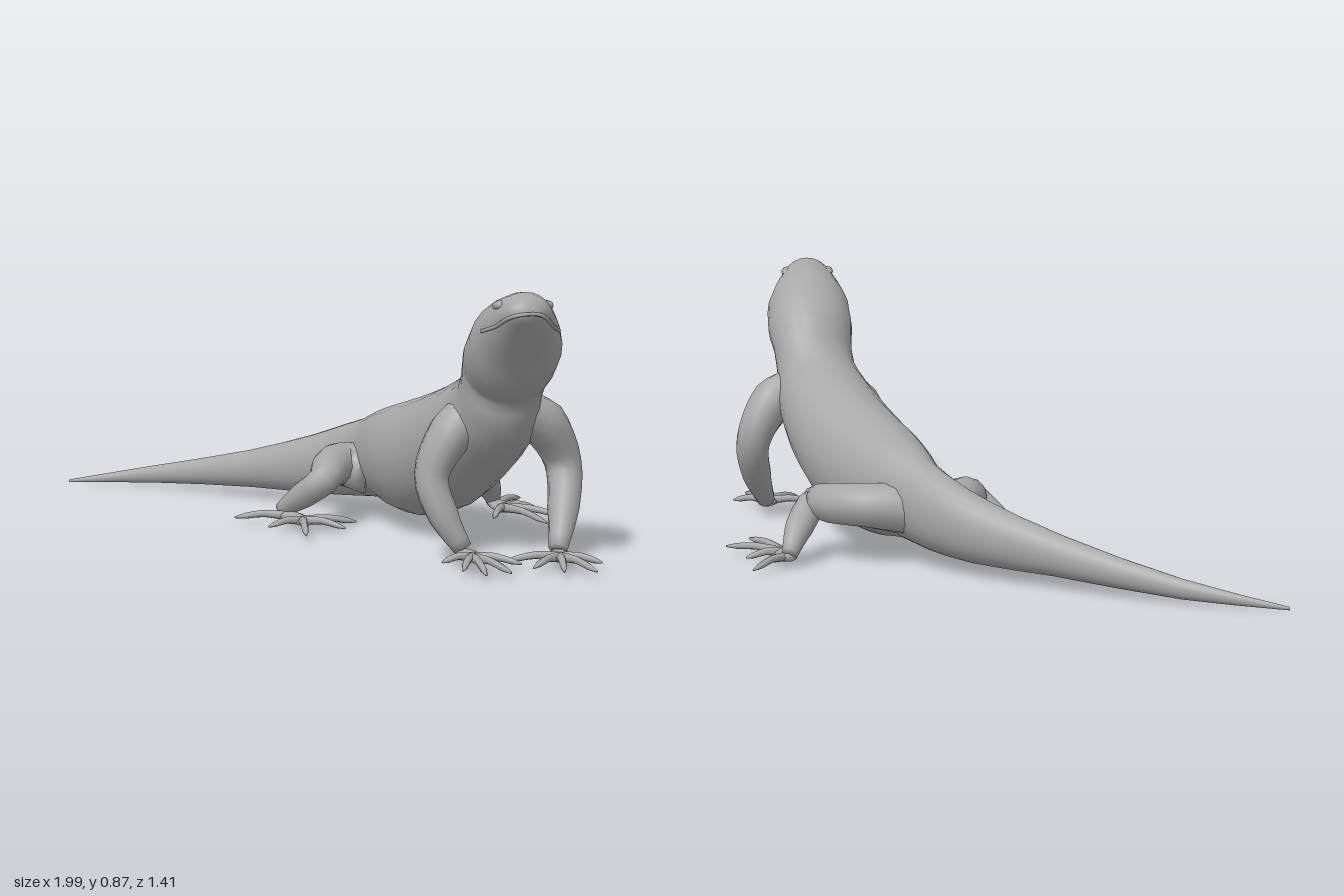
import * as THREE from 'three';

const V = (x, y, z) => new THREE.Vector3(x, y, z);
const lerpList = (list, t) => {
  const f = t * (list.length - 1), i = Math.min(Math.floor(f), list.length - 2);
  return THREE.MathUtils.lerp(list[i], list[i + 1], f - i);
};

// A point on a ring with centre c, side vector s and up vector u
const ringPoint = (r, a) => r.c.clone().addScaledVector(r.s, Math.cos(a)).addScaledVector(r.u, Math.sin(a));

// Closed smooth skin over a list of rings
function skin(rings, sides) {
  const pos = [], index = [];
  rings.forEach(r => {
    for (let j = 0; j < sides; j++) pos.push(...ringPoint(r, j / sides * Math.PI * 2).toArray());
  });
  const last = rings.length - 1, start = rings.length * sides, end = start + 1;
  pos.push(...rings[0].c.toArray(), ...rings[last].c.toArray());
  for (let j = 0; j < sides; j++) {
    const k = (j + 1) % sides;
    for (let i = 0; i < last; i++) {
      const a = i * sides + j, b = i * sides + k;
      index.push(a, b, a + sides, b, b + sides, a + sides);
    }
    index.push(start, k, j, end, last * sides + j, last * sides + k);
  }
  const g = new THREE.BufferGeometry();
  g.setAttribute('position', new THREE.Float32BufferAttribute(pos, 3));
  g.setIndex(index);
  g.computeVertexNormals();
  return g;
}

// Tapered tube through points [x, y, z, radius], optionally flattened
function limb(points, ref, sides = 12, steps = 4, flat = 1) {
  const curve = new THREE.CatmullRomCurve3(points.map(p => V(p[0], p[1], p[2])));
  const n = (points.length - 1) * steps, rings = [];
  for (let i = 0; i <= n; i++) {
    const t = i / n, r = lerpList(points.map(p => p[3]), t), dir = curve.getTangent(t);
    const s = ref.clone().cross(dir).normalize(), u = dir.clone().cross(s);
    rings.push({ c: curve.getPoint(t), s: s.multiplyScalar(r), u: u.multiplyScalar(r * flat) });
  }
  return skin(rings, sides);
}

// Body sections from tail to snout: top x, y, z, bottom x, y, z, half width
const SECTIONS = [
  [-1, .014, -.69, -1, .004, -.69, .004],
  [-.68, .08, -.665, -.68, .018, -.665, .024],
  [-.30, .17, -.54, -.28, .04, -.53, .05],
  [-.05, .25, -.445, -.02, .045, -.425, .074],
  [.06, .295, -.39, .13, .06, -.335, .082],
  [.16, .338, -.31, .23, .075, -.24, .095],
  [.23, .38, -.235, .30, .06, -.16, .13],
  [.31, .42, -.14, .40, .06, -.04, .16],
  [.40, .46, -.04, .52, .12, .10, .172],
  [.48, .50, .05, .605, .22, .22, .17],
  [.56, .55, .15, .675, .33, .35, .155],
  [.62, .60, .24, .70, .43, .415, .135],
  [.655, .70, .30, .705, .50, .43, .135],
  [.685, .77, .37, .715, .525, .465, .145],
  [.715, .835, .46, .73, .56, .51, .142],
  [.74, .858, .55, .742, .63, .56, .116],
  [.76, .87, .625, .757, .70, .62, .087],
  [.772, .858, .675, .77, .765, .675, .06],
  [.78, .828, .695, .78, .80, .698, .026]
];

function bodyRings() {
  const top = new THREE.CatmullRomCurve3(SECTIONS.map(p => V(p[0], p[1], p[2])));
  const low = new THREE.CatmullRomCurve3(SECTIONS.map(p => V(p[3], p[4], p[5])));
  const n = (SECTIONS.length - 1) * 2;
  const rings = [];
  for (let i = 0; i <= n; i++) {
    const t = i / n, a = top.getPoint(t), b = low.getPoint(t);
    const dir = top.getTangent(t).add(low.getTangent(t));
    rings.push({
      c: a.clone().add(b).multiplyScalar(.5),
      u: a.sub(b).multiplyScalar(.5),
      s: V(dir.z, 0, -dir.x).normalize().multiplyScalar(lerpList(SECTIONS.map(p => p[6]), t))
    });
  }
  return rings;
}

// Limb paths [x, y, z, radius], palm centres [x, z] and toe tips [x, z]
const LEGS = [
  { name: 'leftForeleg', ref: V(1, 0, 0), palm: [.86, .41],
    path: [[.71, .47, .29, .07], [.79, .42, .235, .076], [.85, .29, .19, .058], [.858, .16, .26, .05], [.85, .05, .35, .03]],
    toes: [[.70, .45], [.79, .54], [.885, .57], [.98, .555], [.99, .43]] },
  { name: 'rightForeleg', ref: V(1, 0, 0), palm: [.60, .46],
    path: [[.59, .47, .31, .07], [.515, .40, .355, .072], [.46, .27, .385, .054], [.50, .15, .40, .048], [.56, .05, .40, .03]],
    toes: [[.51, .51], [.585, .61], [.66, .66], [.73, .62], [.75, .49]] },
  { name: 'leftHindLeg', ref: V(0, 1, 0), palm: [.62, -.33],
    path: [[.20, .18, -.29, .085], [.34, .195, -.33, .072], [.46, .19, -.295, .066], [.535, .18, -.24, .05], [.565, .115, -.33, .045], [.575, .05, -.42, .026]],
    toes: [[.655, -.56], [.72, -.405], [.825, -.26], [.78, -.14], [.60, -.19]] },
  { name: 'rightHindLeg', ref: V(0, 1, 0), palm: [0, .01],
    path: [[.18, .17, -.22, .085], [.085, .19, -.22, .074], [.06, .19, -.13, .066], [.05, .165, -.04, .05], [-.02, .11, -.06, .045], [-.10, .05, -.10, .026]],
    toes: [[-.25, -.05], [-.11, .08], [.035, .195], [.14, .06], [.16, -.05]] }
];

export function createModel() {
  const model = new THREE.Group();
  const grey = new THREE.MeshStandardMaterial({ color: 0xa8a8a8 });
  grey.name = 'skin grey';
  const up = V(0, 1, 0);
  const add = (parent, name, geometry) => {
    const mesh = new THREE.Mesh(geometry, grey);
    mesh.name = name;
    parent.add(mesh);
    return mesh;
  };

  // Tail, trunk, neck and head in one skin
  const rings = bodyRings();
  add(model, 'body', skin(rings, 24));

  // Upper lip running round the snout
  const lip = [[30, .02], [32, -.2], [34, -.3], [36, -.2]];
  const side = m => lip.map(([i, a]) => ringPoint(rings[i], m > 0 ? a : Math.PI - a));
  const lipCurve = new THREE.CatmullRomCurve3([...side(1), ...side(-1).reverse()]);
  add(model, 'upperLip', new THREE.TubeGeometry(lipCurve, 32, .006, 6));

  // Brow ridges and eyes
  for (const [name, a] of [['left', .72], ['right', Math.PI - .72]]) {
    const brow = add(model, name + 'Brow', new THREE.SphereGeometry(1, 12, 8));
    brow.scale.set(.022, .016, .045);
    brow.position.copy(ringPoint(rings[31], a)).lerp(rings[31].c, .1);
    brow.rotation.set(-.1, .2, 0);
  }

  // Legs with flattened palms and five toes each
  for (const { name, ref, path, palm, toes } of LEGS) {
    const leg = new THREE.Group();
    leg.name = name;
    model.add(leg);
    add(leg, name + 'Limb', limb(path, ref));
    const [ax, ay, az] = path[path.length - 1], [px, pz] = palm;
    add(leg, name + 'Palm', limb([[ax, ay - .012, az, .026], [(ax + px) / 2, .037, (az + pz) / 2, .034],
      [px, .034, pz, .03]], up, 10, 3, .5));
    toes.forEach(([x, z], i) => {
      // The hind outer toe starts near the ankle
      const k = i === 0 && name.includes('Hind') ? .7 : .12;
      const bx = px + (ax - px) * k, bz = pz + (az - pz) * k;
      const at = (f, y, r) => [bx + (x - bx) * f, y, bz + (z - bz) * f, r];
      add(leg, name + 'Toe' + (i + 1), limb([at(0, .035, .016), at(.45, .043, .012), at(.8, .034, .01), at(1, .028, .003)], up, 8, 2));
    });
  }
  return model;
}
